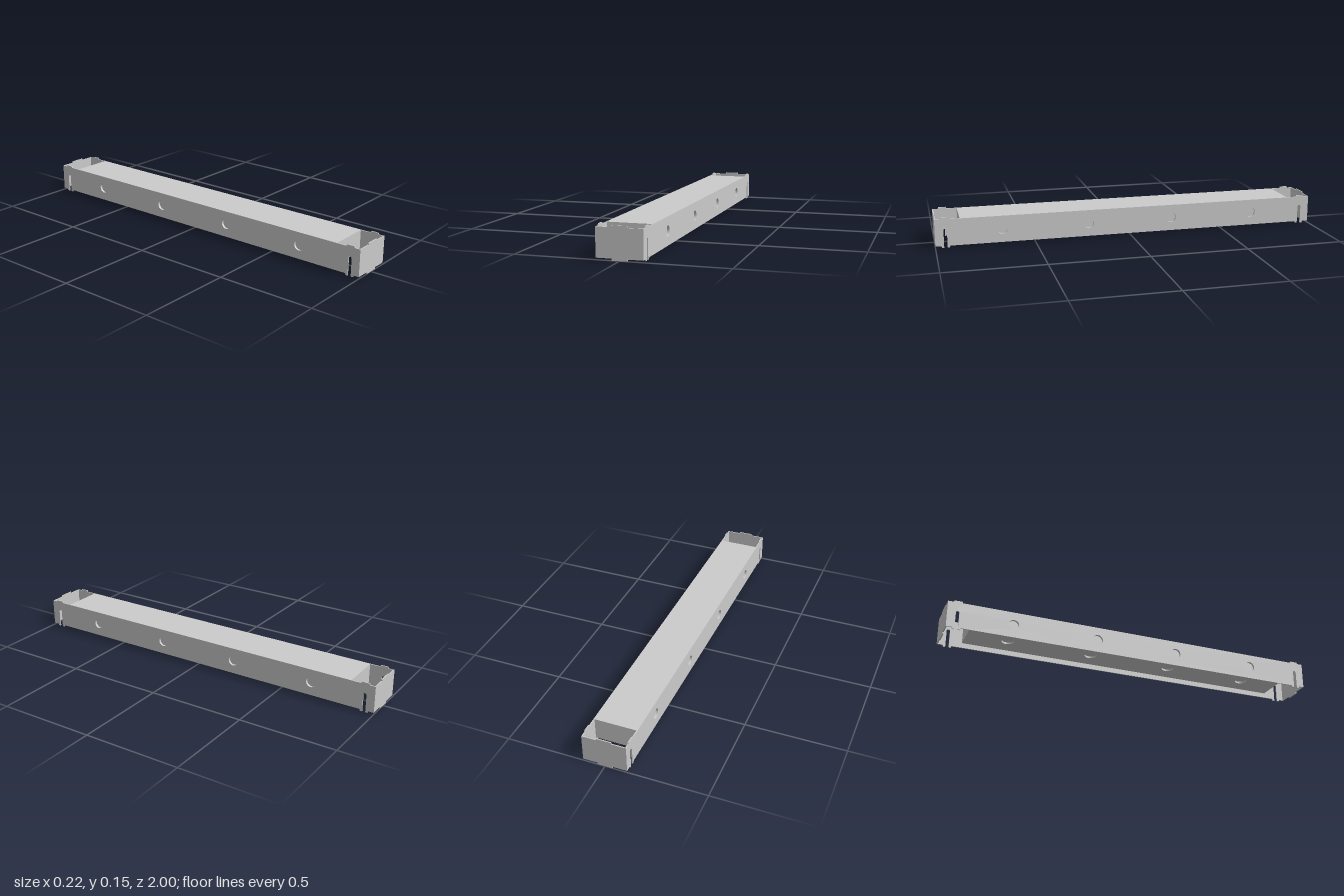
import * as THREE from 'three';

const W = 0.11, WALL = 0.0055, LOW = 0.009, HIGH = 0.146, TOP = 0.154;
const CORE = 0.875, CORE_LOW = 0.035, RECESS = 0.0065;
const HOLES = [-0.665, -0.22, 0.22, 0.665];
const material = new THREE.MeshStandardMaterial({ color: 0xcccccc });

function part(name, geometry) {
  const mesh = new THREE.Mesh(geometry, material);
  mesh.name = name;
  return mesh;
}

function plate(points, depth, holes = []) {
  const shape = new THREE.Shape(points.map(([x, y]) => new THREE.Vector2(x, y)));
  for (const [x, y, r] of holes) {
    shape.holes.push(new THREE.Path().absarc(x, y, r, 0, Math.PI * 2, true));
  }
  return new THREE.ExtrudeGeometry(shape, { depth, bevelEnabled: false, curveSegments: 24 });
}

const rect = (x, y0, y1) => [[-x, y0], [x, y0], [x, y1], [-x, y1]];

// Long wall outline: tabs at both ends, bottom tabs split by an open slot
function sideOutline() {
  const c = 0.003, a = 0.926, b = 0.971, s0 = 0.94, s1 = 0.957, slot = 0.098;
  const bottom = [
    [a, LOW], [a + c, 0], [s0, 0], [s0, slot - 0.005], [s0 + 0.004, slot],
    [s1 - 0.004, slot], [s1, slot - 0.005], [s1, 0], [b - c, 0], [b, LOW], [1, LOW]];
  const top = [[1, HIGH], [b, HIGH], [b - c, TOP], [a + c, TOP], [a, HIGH]];
  const half = [...bottom, ...top];
  return [...half, ...half.map(([x, y]) => [-x, y]).reverse()];
}

// End wall outline with a centre tab above and below
function endOutline() {
  const t = 0.037, x = W - WALL;
  const half = [[t, 0], [t, LOW], [x, LOW], [x, HIGH], [t, HIGH], [t, TOP]];
  return [...half, ...half.map(([px, y]) => [-px, y]).reverse()];
}

export function createModel() {
  const group = new THREE.Group();
  group.name = 'beam';
  const inner = W - WALL, coreX = inner - RECESS, coreY = CORE_LOW + 0.01;
  const sideHoles = HOLES.map(z => [z, 0.078, 0.026]);

  // Solid core between the walls
  const core = part('core', new THREE.BoxGeometry(coreX * 2, HIGH - coreY, CORE * 2));
  core.position.y = (HIGH + coreY) / 2;
  group.add(core);

  // Underside panel with shallow round recesses
  const under = plate(rect(CORE, -coreX, coreX), 0.01, HOLES.map(z => [z, 0, 0.031]));
  under.rotateX(-Math.PI / 2).rotateY(Math.PI / 2).translate(0, CORE_LOW, 0);
  group.add(part('undersidePanel', under));

  for (const side of [1, -1]) {
    const name = side > 0 ? 'left' : 'right';

    // Core cheek and outer long wall, pierced in line
    const cheek = plate(rect(CORE, CORE_LOW, HIGH), RECESS, sideHoles);
    cheek.translate(0, 0, coreX).rotateY(side * Math.PI / 2);
    group.add(part(name + 'Cheek', cheek));

    const wall = plate(sideOutline(), WALL, sideHoles);
    wall.translate(0, 0, inner).rotateY(side * Math.PI / 2);
    group.add(part(name + 'Wall', wall));

    // End wall closing the open pocket
    const end = plate(endOutline(), WALL);
    end.translate(0, 0, 1 - WALL).rotateY(side > 0 ? 0 : Math.PI);
    group.add(part(side > 0 ? 'frontEndWall' : 'backEndWall', end));
  }
  return group;
}
